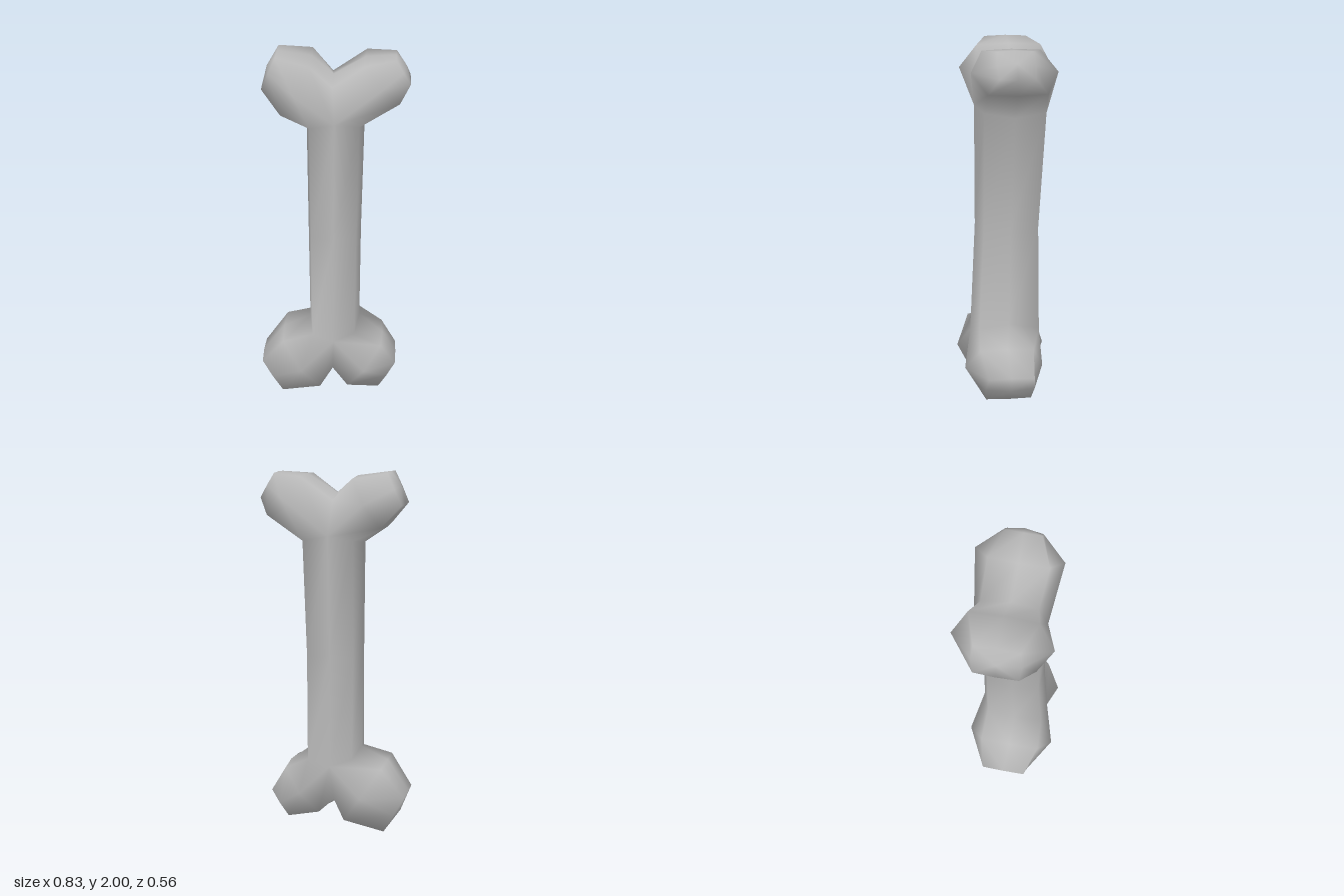
import * as THREE from 'three';

const SIDES = 8;
const TWIST = 0.1; // slight turn of every cross-section about the upright axis

export function createModel() {
  const grey = new THREE.MeshStandardMaterial({ color: 0xb8b8b8 });
  grey.name = 'bone grey';

  const points = [];
  const faces = [];
  const add = (x, y, z) => points.push(x, y, z) / 3 - 1;
  const tri = (a, b, c, flip) => faces.push(...(flip ? [a, c, b] : [a, b, c]));

  // Join two rings of vertex indices with quads
  function bridge(r, s, flip) {
    for (let k = 0; k < SIDES; k++) {
      const n = (k + 1) % SIDES;
      tri(r[k], s[k], r[n], flip);
      tri(r[n], s[k], s[n], flip);
    }
  }

  // Shaft ring, running front, -x side, back, +x side; rise lifts front and back
  function shaftRing(y, x0, x1, z0, z1, rise) {
    const corner = [1, 1.2, 1, 1.18, 1, 1.27, 1, 1.18];
    return corner.map((d, k) => {
      const a = k * Math.PI / 4;
      const z = Math.cos(a) * d * (z1 - z0) / 2;
      return add(
        (x0 + x1) / 2 - Math.sin(a) * d * (x1 - x0) / 2 - TWIST * z,
        y + rise * Math.cos(a) ** 2,
        (z0 + z1) / 2 + z);
    });
  }

  // Knob ring between an inner (saddle side) and an outer (shaft side) point;
  // width is the share of the depth taken by its flat inner and outer edges
  function knobRing([px, py, qx, qy, z0, z1, width], dir) {
    return Array.from({ length: SIDES }, (_, k) => {
      const a = k * Math.PI / 4;
      const diagonal = k % 2 === 1;
      const t = diagonal ? Math.sign(Math.sin(a)) * 0.47 : Math.sin(a) / 2;
      const c = diagonal ? Math.sign(Math.cos(a)) * width : Math.cos(a);
      const z = dir * c * (z1 - z0) / 2;
      return add(
        (px + qx) / 2 + (qx - px) * t - TWIST * z,
        (py + qy) / 2 + (qy - py) * t,
        (z0 + z1) / 2 + z);
    });
  }

  // One knob: half of the shaft ring plus the saddle, two rings and a closed tip
  function knob(base, sections, dir, flip) {
    let ring = base;
    for (const s of sections) {
      const next = knobRing(s, dir);
      bridge(ring, next, flip);
      ring = next;
    }
    const [px, py, qx, qy, z0, z1] = sections[sections.length - 1];
    const tip = add((px + qx) / 2 - dir * 0.016, (py + qy) / 2 + (flip ? -0.01 : 0.01), (z0 + z1) / 2);
    for (let k = 0; k < SIDES; k++) tri(ring[k], tip, ring[(k + 1) % SIDES], flip);
  }

  // A forked end: two knobs sharing a saddle arc
  function fork(r, saddleY, shoulderY, zBack, zFront, minus, plus, flip) {
    const front = add(-0.01, shoulderY, zFront);
    const mid = add(0.005, saddleY, 0);
    const back = add(0.01, shoulderY, zBack);
    knob([r[0], r[1], r[2], r[3], r[4], back, mid, front], minus, 1, flip);
    knob([r[4], r[5], r[6], r[7], r[0], front, mid, back], plus, -1, flip);
  }

  // Shaft
  const shaft = [
    shaftRing(0.45, -0.13, 0.15, -0.16, 0.22, -0.07),
    shaftRing(1.0, -0.135, 0.155, -0.15, 0.19, 0),
    shaftRing(1.61, -0.14, 0.17, -0.19, 0.19, 0.05),
  ];
  bridge(shaft[0], shaft[1]);
  bridge(shaft[1], shaft[2]);

  // Upper fork: sections are [inner x, y, outer x, y, z back, z front, edge width]
  fork(shaft[2], 1.88, 1.85, -0.15, 0.14,
    [[-0.11, 1.975, -0.27, 1.70, -0.28, 0.235, 0.68], [-0.29, 2.0, -0.37, 1.82, -0.165, 0.085, 0.92]],
    [[0.17, 1.98, 0.36, 1.76, -0.205, 0.25, 0.68], [0.33, 1.99, 0.41, 1.85, -0.065, 0.135, 0.92]],
    false);

  // Lower fork
  fork(shaft[0], 0.14, 0.18, -0.12, 0.17,
    [[-0.06, 0.06, -0.28, 0.38, -0.23, 0.265, 0.68], [-0.28, 0.0, -0.4, 0.21, -0.145, 0.125, 0.92]],
    [[0.08, 0.08, 0.28, 0.35, -0.15, 0.28, 0.68], [0.26, 0.05, 0.36, 0.21, -0.08, 0.19, 0.92]],
    true);

  const geometry = new THREE.BufferGeometry();
  geometry.setAttribute('position', new THREE.Float32BufferAttribute(points, 3));
  geometry.setIndex(faces);
  geometry.computeVertexNormals();

  const bone = new THREE.Mesh(geometry, grey);
  bone.name = 'bone';
  const group = new THREE.Group();
  group.name = 'boneModel';
  group.add(bone);
  return group;
}
